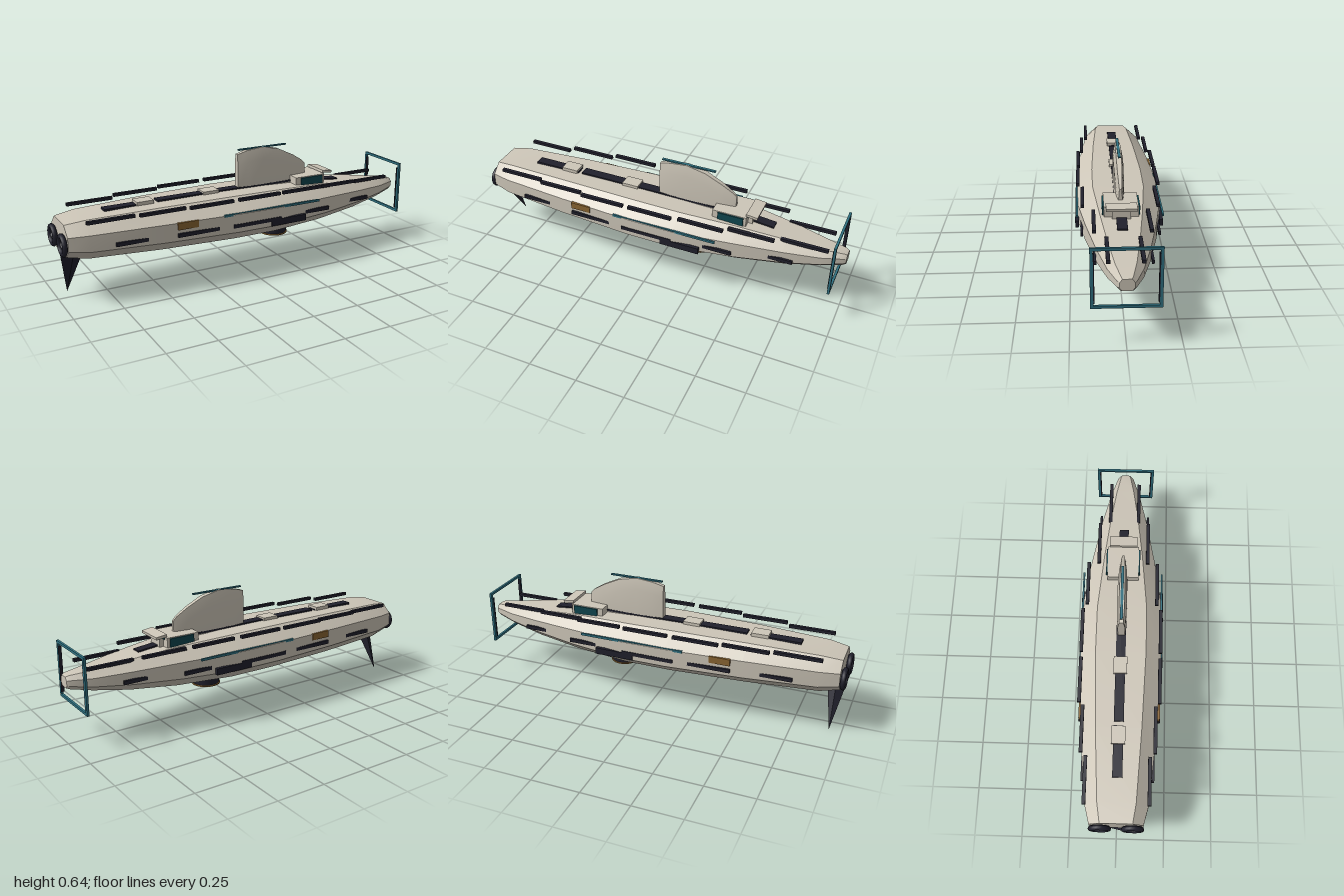
import * as THREE from 'three';
import { toCreasedNormals } from 'three/addons/utils/BufferGeometryUtils.js';

const material = (name, color) => {
  const m = new THREE.MeshStandardMaterial({ color });
  m.name = name;
  return m;
};

// Skin a list of [x, ring] sections; each ring is [z, y] points running up the +z side.
function loft(sections, crease = 0.4) {
  const n = sections[0][1].length, pos = [], index = [];
  for (const [x, ring] of sections) for (const [z, y] of ring) pos.push(x, y, z);
  for (let i = 0; i < sections.length - 1; i++) {
    for (let j = 0; j < n; j++) {
      const a = i * n + j, d = i * n + (j + 1) % n;
      index.push(a, a + n, d + n, a, d + n, d);
    }
  }
  const last = (sections.length - 1) * n;
  for (let j = 1; j < n - 1; j++) index.push(0, j, j + 1, last, last + j + 1, last + j);
  const g = new THREE.BufferGeometry();
  g.setAttribute('position', new THREE.Float32BufferAttribute(pos, 3));
  g.setIndex(index);
  return toCreasedNormals(g, crease);
}

// Complete a half ring by mirroring it across z = 0.
const mirrorRing = (half) => [...half, ...half.map(([z, y]) => [-z, y]).reverse()];

export function createModel() {
  const model = new THREE.Group();
  model.name = 'submarine';
  const hullPaint = material('warm grey hull', 0xcdc6b8);
  const dark = material('dark trim', 0x20202c);
  const teal = material('teal trim', 0x2f7080);
  const glass = material('dark teal glass', 0x0f464f);
  const gold = material('bronze', 0x8a6532);
  const steel = material('steel', 0x77767a);

  const add = (name, geo, mat, x = 0, y = 0, z = 0) => {
    const mesh = new THREE.Mesh(geo, mat);
    mesh.name = name;
    mesh.position.set(x, y, z);
    model.add(mesh);
    return mesh;
  };
  const box = (name, mat, x, y, z, w, h, d) =>
    add(name, new THREE.BoxGeometry(w, h, d), mat, x, y, z);

  // Hull: octagonal sections [x, half width, top, bottom]
  const hull = [
    [-0.97, 0.135, 0.405, 0.245], [-0.87, 0.16, 0.418, 0.226], [-0.5, 0.194, 0.427, 0.212],
    [-0.1, 0.218, 0.43, 0.205], [0.15, 0.217, 0.427, 0.205], [0.45, 0.172, 0.413, 0.215],
    [0.7, 0.124, 0.388, 0.238], [0.88, 0.08, 0.364, 0.266], [0.985, 0.044, 0.355, 0.288],
    [1.0, 0.034, 0.349, 0.294],
  ].map(([x, w, top, bottom]) => {
    const h = top - bottom;
    return [x, mirrorRing([[w * 0.64, bottom], [w, bottom + h * 0.27],
      [w, bottom + h * 0.7], [w * 0.6, top]])];
  });
  add('hull', loft(hull), hullPaint);

  // Keel: shallow band under the hull [x, half width, bottom]
  const keel = [
    [-0.83, 0.05, 0.212], [-0.76, 0.068, 0.2], [-0.1, 0.075, 0.192], [0.3, 0.07, 0.198],
    [0.6, 0.05, 0.221], [0.82, 0.028, 0.252],
  ].map(([x, w, y]) => [x, mirrorRing([[w * 0.8, y], [w, y + 0.03]])]);
  add('keel', loft(keel), hullPaint);

  // Sail: tapered toward the top and the leading edge [x, top, half width]
  const sail = [
    [-0.01, 0.612, 0.018], [0.05, 0.628, 0.024], [0.14, 0.637, 0.025],
    [0.24, 0.615, 0.024], [0.33, 0.572, 0.02], [0.39, 0.535, 0.014], [0.41, 0.515, 0.01],
  ].map(([x, y, w]) => [x, mirrorRing([[w, 0.41], [w, y - 0.06], [w * 0.55, y]])]);
  add('sail', loft(sail), hullPaint);
  box('sailTopStrip', teal, 0.145, 0.634, 0, 0.29, 0.007, 0.014);

  // Bridge with side windows and raised visor
  box('bridge', hullPaint, 0.4, 0.432, 0, 0.18, 0.056, 0.166);
  box('bridgeFrontWindow', glass, 0.492, 0.452, 0, 0.006, 0.01, 0.12);
  box('visor', hullPaint, 0.515, 0.467, 0, 0.06, 0.014, 0.148).rotation.z = -0.12;
  box('visorPost', hullPaint, 0.5, 0.43, 0, 0.025, 0.06, 0.09);

  // Deck strips and hatches along the spine
  box('deckStripRear', dark, -0.62, 0.426, 0, 0.26, 0.012, 0.05);
  box('deckStripMain', dark, -0.06, 0.431, 0, 0.82, 0.01, 0.05);
  box('deckStripFront', dark, 0.555, 0.404, 0, 0.13, 0.012, 0.05).rotation.z = -0.1;
  for (const x of [-0.54, -0.175]) box('deckHatch', hullPaint, x, 0.436, 0, 0.09, 0.018, 0.07);

  // Upper rail segments: [x, y, z]
  const rails = [
    [-0.765, 0.425, 0.16], [-0.51, 0.43, 0.185], [-0.255, 0.433, 0.204], [0.015, 0.434, 0.205],
    [0.285, 0.427, 0.184], [0.535, 0.408, 0.132], [0.795, 0.386, 0.077],
  ];
  // Lower side strips: [x, z, length]
  const strips = [
    [-0.665, 0.18, 0.17], [-0.3, 0.205, 0.28], [0.0, 0.215, 0.28],
    [0.37, 0.188, 0.17], [0.68, 0.131, 0.15],
  ];
  for (const s of [1, -1]) {
    for (const [x, y, z] of rails) box('upperRail', dark, x, y, s * z, 0.24, 0.016, 0.018);
    for (const [x, z, length] of strips) box('sideStrip', dark, x, 0.301, s * z, length, 0.019, 0.012);
    box('sideVent', dark, 0.185, 0.283, s * 0.212, 0.21, 0.034, 0.018);
    box('sideStripe', teal, 0.092, 0.362, s * 0.211, 0.565, 0.012, 0.009);
    box('sideHatch', gold, -0.385, 0.347, s * 0.2, 0.11, 0.036, 0.016);
    box('bridgeSideWindow', glass, 0.408, 0.434, s * 0.086, 0.135, 0.044, 0.009);

    // Stern thrusters
    const ring = add('thrusterRing', new THREE.TorusGeometry(0.045, 0.013, 8, 24), dark, -0.984, 0.308, s * 0.082);
    ring.rotation.y = Math.PI / 2;
    const disc = add('thrusterDisc', new THREE.CylinderGeometry(0.046, 0.046, 0.02, 24), dark, -0.972, 0.308, s * 0.082);
    disc.rotation.z = Math.PI / 2;
    const hub = add('thrusterHub', new THREE.ConeGeometry(0.03, 0.015, 3), steel, -0.988, 0.308, s * 0.082);
    hub.rotation.z = Math.PI / 2;
  }

  // Square bow frame with inner dark plates
  for (const s of [1, -1]) {
    box('bowFrameUpright', teal, 0.956, 0.332, s * 0.15, 0.012, 0.287, 0.014);
    box('bowFrameBar', teal, 0.956, 0.332 + s * 0.137, 0, 0.012, 0.013, 0.3);
    box('bowFramePlate', dark, 0.954, 0.33, s * 0.141, 0.016, 0.235, 0.006);
  }

  // Belly sensor drum with bronze base
  add('sensorDrum', new THREE.CylinderGeometry(0.07, 0.07, 0.055, 32), dark, 0.22, 0.179, 0);
  add('sensorBase', new THREE.CylinderGeometry(0.074, 0.074, 0.007, 32), gold, 0.22, 0.149, 0);

  // Slanted stern fin: inverted cone leaning sideways
  const fin = new THREE.ConeGeometry(1, 1, 4).toNonIndexed();
  fin.rotateX(Math.PI).translate(0, 0.5, 0);
  fin.applyMatrix4(new THREE.Matrix4().set(
    0.06, 0, 0, -0.935,
    0, 0.27, 0, 0,
    0, 0.143, 0.03, -0.073,
    0, 0, 0, 1));
  fin.computeVertexNormals();
  add('sternFin', fin, dark);

  return model;
}
